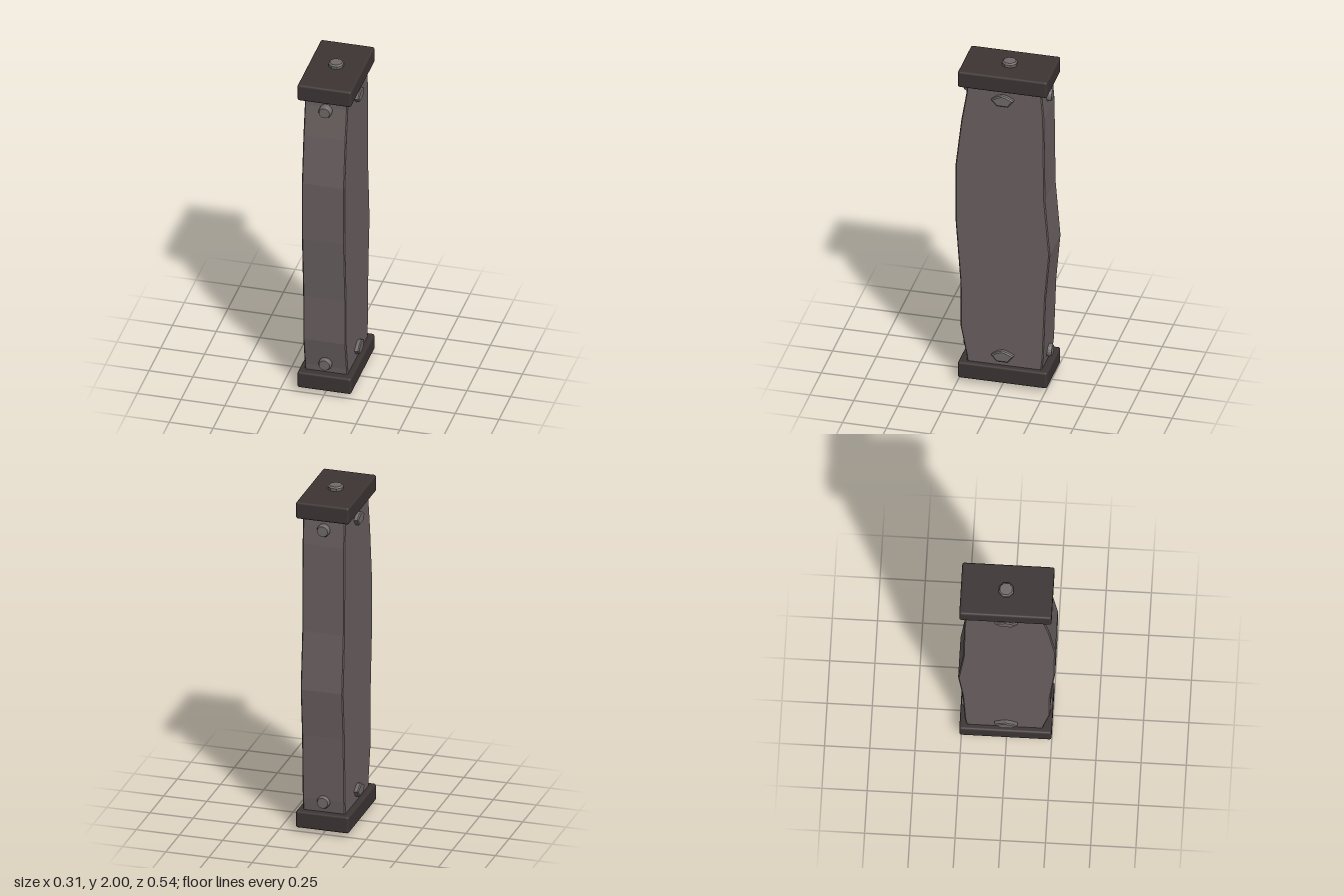
import * as THREE from 'three';
import { RoundedBoxGeometry } from 'three/addons/geometries/RoundedBoxGeometry.js';

function material(name, color) {
  const m = new THREE.MeshStandardMaterial({ color });
  m.name = name;
  return m;
}

export function createModel() {
  const group = new THREE.Group();
  const wood = material('greyBrown', 0x6a6060);
  const dark = material('darkBrown', 0x3c3534);
  const metal = material('boltGrey', 0x706a6a);

  const add = (name, geometry, mat, x = 0, y = 0, z = 0) => {
    const mesh = new THREE.Mesh(geometry, mat);
    mesh.name = name;
    mesh.position.set(x, y, z);
    group.add(mesh);
    return mesh;
  };

  // Plank: a worn side outline as [z, y], extruded across x with a fine bevel
  const bevel = 0.006;
  const outline = [
    [0.194, 0.1], [0.2, 0.16], [0.234, 0.34], [0.235, 0.62], [0.262, 1.0],
    [0.263, 1.36], [0.23, 1.65], [0.2, 1.83], [0.195, 1.9],
    [-0.215, 1.9], [-0.229, 1.72], [-0.235, 1.2], [-0.263, 0.86],
    [-0.239, 0.58], [-0.226, 0.2], [-0.214, 0.1],
  ];
  const shape = new THREE.Shape(outline.map(([z, y]) => new THREE.Vector2(-z, y)));
  const plank = new THREE.ExtrudeGeometry(shape, {
    depth: 0.245 - 2 * bevel, bevelSize: bevel, bevelThickness: bevel, bevelSegments: 1,
  });
  plank.translate(0, 0, -0.1225 + bevel);
  plank.rotateY(Math.PI / 2); // outline -z becomes model x-plane, facing sideways
  add('plank', plank, wood);

  // End caps
  for (const [name, y] of [['bottomCap', 0.074], ['topCap', 1.926]]) {
    add(name, new RoundedBoxGeometry(0.308, 0.1, 0.51, 3, 0.013), dark, 0, y, -0.006);
  }

  // Bolt: a low chamfered disc along y, standing on its origin
  const bolt = (radius, height, sides) => new THREE.LatheGeometry([
    new THREE.Vector2(0, 0), new THREE.Vector2(radius, 0),
    new THREE.Vector2(radius, height * 0.75), new THREE.Vector2(radius * 0.82, height),
    new THREE.Vector2(0, height),
  ], sides, Math.PI / sides).toNonIndexed();

  const makeBolt = (radius, height, sides) => {
    const g = bolt(radius, height, sides);
    g.computeVertexNormals();
    return g;
  };

  // Cap bolts
  add('topBolt', makeBolt(0.044, 0.035, 8), metal, 0, 1.965, -0.01);
  add('bottomBolt', makeBolt(0.044, 0.035, 8).rotateX(Math.PI), metal, 0, 0.035, -0.01);

  // Side plates: wide pointed lozenges with a flat lower edge, as [z, y]
  const lozenge = new THREE.Shape([
    [0.062, 0.004], [0.03, -0.032], [-0.034, -0.032], [-0.066, 0.01],
    [-0.03, 0.028], [0, 0.036], [0.03, 0.026],
  ].map(([z, y]) => new THREE.Vector2(-z, y)));
  const plate = () => new THREE.ExtrudeGeometry(lozenge, {
    depth: 0.035, bevelSize: 0.006, bevelOffset: -0.006, bevelThickness: 0.006, bevelSegments: 1,
  });

  for (const [level, y] of [['lower', 0.187], ['upper', 1.815]]) {
    // Narrow faces
    add(level + 'FrontBolt', makeBolt(0.037, 0.055, 16).rotateX(Math.PI / 2), metal, 0, y, 0.19);
    add(level + 'BackBolt', makeBolt(0.037, 0.055, 16).rotateX(-Math.PI / 2), metal, 0, y, -0.2);
    // Broad faces, mirrored
    add(level + 'LeftBolt', plate().rotateY(Math.PI / 2), metal, 0.106, y, -0.002);
    const right = plate().scale(-1, 1, 1).rotateY(-Math.PI / 2);
    const p = right.attributes.position;
    // Restore the corner order after mirroring
    for (let i = 0; i < p.count; i += 3) {
      const a = new THREE.Vector3().fromBufferAttribute(p, i);
      const b = new THREE.Vector3().fromBufferAttribute(p, i + 1);
      p.setXYZ(i, b.x, b.y, b.z);
      p.setXYZ(i + 1, a.x, a.y, a.z);
    }
    right.computeVertexNormals();
    add(level + 'RightBolt', right, metal, -0.106, y, -0.002);
  }
  return group;
}
